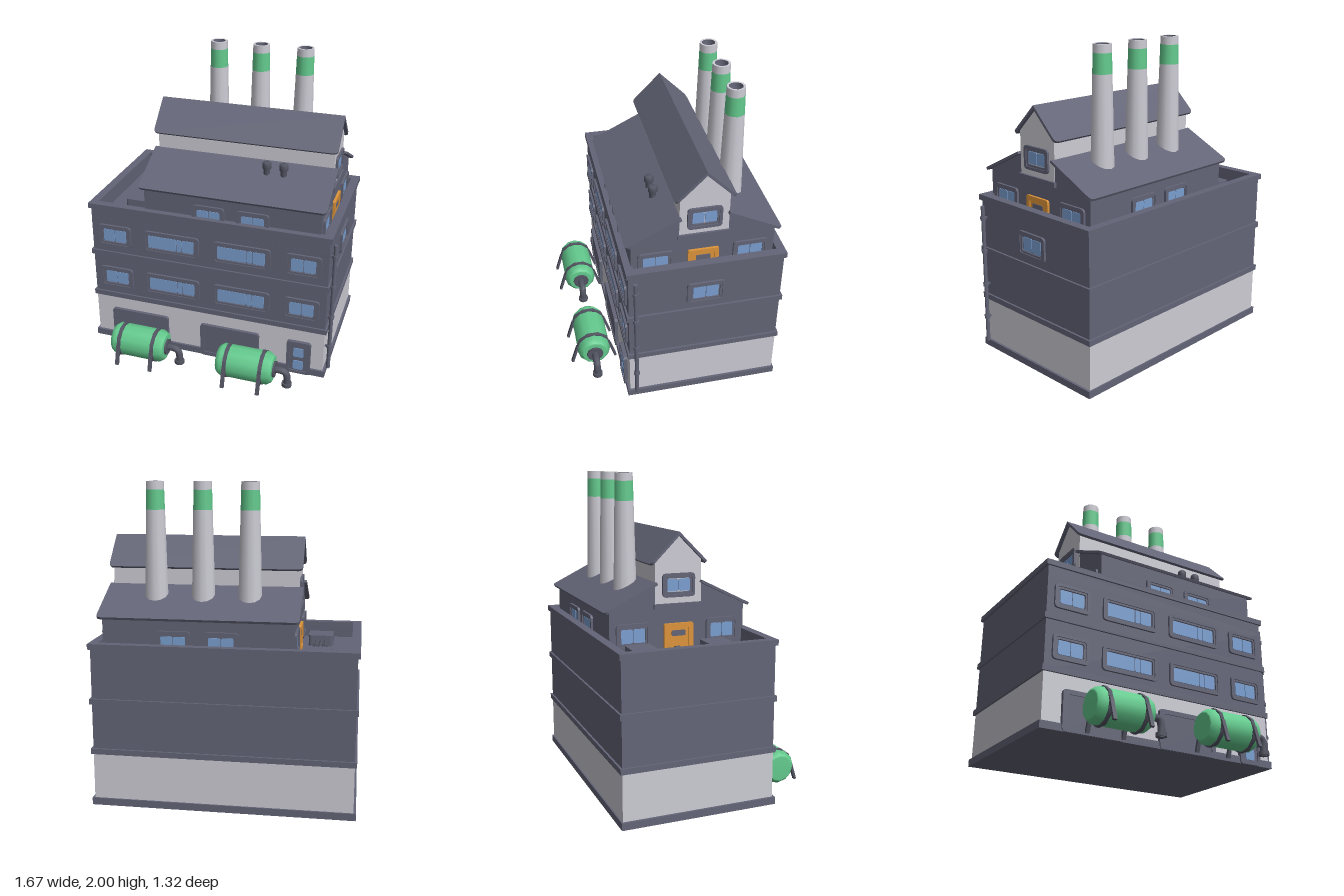
import * as THREE from 'three';

const mat = (name, color) => Object.assign(new THREE.MeshStandardMaterial({ color }), { name });

export function createModel() {
  const slate = mat('slate', 0x636577), pale = mat('pale wall', 0xcdccd5), green = mat('green', 0x64cb8e);
  const glass = mat('glass', 0x7a9fd0), orange = mat('orange', 0xdd943a), metal = mat('dark metal', 0x545664);
  const model = new THREE.Group();

  const add = (parent, name, geo, m, x = 0, y = 0, z = 0) => {
    const mesh = new THREE.Mesh(geo, m);
    mesh.name = name;
    mesh.position.set(x, y, z);
    parent.add(mesh);
    return mesh;
  };
  const group = (name, x = 0, y = 0, z = 0, parent = model) => {
    const g = new THREE.Group();
    g.name = name;
    g.position.set(x, y, z);
    parent.add(g);
    return g;
  };
  // box from its low and high corners
  const box = (parent, name, m, [x0, x1], [y0, y1], [z0, z1]) =>
    add(parent, name, new THREE.BoxGeometry(x1 - x0, y1 - y0, z1 - z0), m, (x0 + x1) / 2, (y0 + y1) / 2, (z0 + z1) / 2);
  const extrude = (shape, depth) => new THREE.ExtrudeGeometry(shape, { depth, bevelEnabled: false, curveSegments: 4 });
  // rectangle w by h about the origin; top and bottom corner radii
  const rounded = (w, h, rt, rb = rt, C = THREE.Shape) => {
    const s = new C(), a = w / 2, b = h / 2;
    s.moveTo(-a + rb, -b);
    s.lineTo(a - rb, -b);
    s.quadraticCurveTo(a, -b, a, -b + rb);
    s.lineTo(a, b - rt);
    s.quadraticCurveTo(a, b, a - rt, b);
    s.lineTo(-a + rt, b);
    s.quadraticCurveTo(-a, b, -a, b - rt);
    s.lineTo(-a, -b + rb);
    s.quadraticCurveTo(-a, -b, -a + rb, -b);
    return s;
  };
  const frame = (w, h, r, border, depth) => {
    const s = rounded(w, h, r);
    s.holes.push(rounded(w - 2 * border, h - 2 * border, r * 0.6, r * 0.6, THREE.Path));
    return extrude(s, depth);
  };
  // framed window facing local +z; panes are [centre, width] pairs
  const windowUnit = (parent, x, y, z, w, h, panes, turn = 0) => {
    const g = group('window', x, y, z, parent);
    g.rotation.y = turn;
    add(g, 'windowFrame', frame(w, h, 0.025, 0.018, 0.015), slate);
    add(g, 'windowInnerFrame', frame(w - 0.036, h - 0.036, 0.018, 0.013, 0.009), slate);
    for (const [c, pw] of panes) add(g, 'pane', extrude(rounded(pw, h - 0.07, 0.012), 0.005), glass, c);
  };
  const pair = [[-0.041, 0.078], [0.041, 0.078]];
  const triple = [[-0.066, 0.198], [0.054, 0.034], [0.115, 0.08]];

  // main block
  const block = group('mainBlock');
  box(block, 'groundFloor', pale, [-0.825, 0.785], [0.02, 0.34], [-0.645, 0.32]);
  box(block, 'upperFloors', slate, [-0.825, 0.785], [0.34, 0.93], [-0.645, 0.32]);
  box(block, 'baseTrim', slate, [-0.84, 0.8], [0, 0.045], [-0.655, 0.335]);
  for (const y of [0.335, 0.655]) box(block, 'floorTrim', slate, [-0.838, 0.798], [y, y + 0.035], [-0.658, 0.332]);
  const parapet = (w, d, y, h, name) => {
    const s = rounded(w, d, 0.001);
    s.holes.push(rounded(1.53, 0.885, 0.001, 0.001, THREE.Path));
    add(block, name, extrude(s, h).rotateX(-Math.PI / 2), slate, -0.02, y, -0.163);
  };
  parapet(1.61, 0.965, 0.93, 0.07, 'parapet');
  parapet(1.64, 0.99, 1.0, 0.035, 'parapetCap');
  for (const y of [0.493, 0.813]) {
    for (const x of [-0.662, 0.625]) windowUnit(block, x, y, 0.32, 0.235, 0.157, pair);
    for (const x of [-0.26, 0.22]) windowUnit(block, x, y, 0.32, 0.385, 0.157, triple);
  }
  windowUnit(block, 0.785, 0.813, -0.16, 0.238, 0.157, pair, Math.PI / 2);

  // ground floor gates and door
  for (const x of [-0.5, 0.145]) {
    const g = group('gate', x, 0.123, 0.32);
    add(g, 'gatePanel', extrude(rounded(0.36, 0.22, 0.02, 0.001), 0.016), slate);
    add(g, 'gateFrame', frame(0.41, 0.245, 0.022, 0.028, 0.022), slate);
  }
  const door = group('frontDoor', 0.623, 0.123, 0.32);
  add(door, 'doorPanel', extrude(rounded(0.12, 0.22, 0.01, 0.001), 0.016), slate);
  add(door, 'doorFrame', frame(0.16, 0.245, 0.02, 0.02, 0.024), slate);
  for (const y of [0.04, -0.058]) add(door, 'doorPane', extrude(rounded(0.068, 0.068, 0.01), 0.005), glass, 0, y, 0.016);

  // gabled house on the roof, centred on its own ridge
  const HX = 0.135, HZ = -0.15;
  const house = group('roofHouse', HX, 0, HZ);
  const gable = (name, m, len, points) => {
    const s = new THREE.Shape(points.map(([z, y]) => new THREE.Vector2(z, y)));
    add(house, name, extrude(s, len).rotateY(-Math.PI / 2), m, len / 2);
  };
  gable('lowerHouse', slate, 1.17, [[-0.44, 0.9], [0.44, 0.9], [0.44, 1.197], [0.14, 1.343], [-0.14, 1.343], [-0.44, 1.197]]);
  gable('upperHouse', pale, 1.176, [[-0.15, 1.21], [0.15, 1.21], [0.15, 1.488], [0, 1.638], [-0.15, 1.488]]);
  const roofSide = (parent, name, w, z0, y0, z1, y1, lap) => {
    const t = 0.016, dz = z1 - z0, dy = y1 - y0, len = Math.hypot(dz, dy) + lap;
    const geo = extrude(rounded(w, len, 0.001, 0.03), t).translate(0, lap - len / 2, 0);
    add(parent, name, geo, slate, 0, y0, z0).rotation.x = Math.atan2(-dz, -dy);
  };
  for (const turn of [0, Math.PI]) {
    const half = group('roofHalf', 0, 0, 0, house);
    half.rotation.y = turn;
    roofSide(half, 'lowerRoof', 1.23, 0.14, 1.345, 0.47, 1.182, 0);
    roofSide(half, 'upperRoof', 1.222, 0, 1.634, 0.175, 1.459, 0.016);
    for (const x of [-0.147, 0.147]) windowUnit(half, x, 1.04, 0.44, 0.215, 0.155, pair);

    // gable end fittings
    const end = group('gableEnd', 0, 0, 0, house);
    end.rotation.y = turn + Math.PI / 2;
    box(end, 'gableBand', slate, [-0.16, 0.16], [1.195, 1.225], [0.58, 0.602]);
    windowUnit(end, 0, 1.335, 0.588, 0.21, 0.145, pair);
    for (const x of [-0.292, 0.292]) windowUnit(end, x, 1.04, 0.585, 0.215, 0.155, pair);
    add(end, 'houseDoor', extrude(rounded(0.15, 0.15, 0.01, 0.001), 0.008), orange, 0, 1.0, 0.585);
    add(end, 'houseDoorFrame', frame(0.19, 0.18, 0.012, 0.028, 0.016), orange, 0, 1.012, 0.585);
    add(end, 'houseDoorPane', extrude(rounded(0.09, 0.035, 0.008), 0.004), slate, 0, 1.04, 0.593);
  }

  // three banded chimneys
  const radius = y => 0.074 - (y - 1.25) * 0.024;
  const stack = (points, m, name, parent) =>
    add(parent, name, new THREE.LatheGeometry(points.map(p => new THREE.Vector2(...p)), 12), m);
  for (const x of [-0.16, 0.13, 0.425]) {
    const c = group('chimney', x, 0, -0.39);
    const section = (y0, y1, m, name) => stack([[radius(y0), y0], [radius(y1), y1]], m, name, c);
    section(1.15, 1.83, pale, 'chimneyShaft');
    section(1.83, 1.95, green, 'chimneyBand');
    section(1.95, 2, pale, 'chimneyTop');
    stack([[radius(2), 2], [0.042, 2]], pale, 'chimneyRim', c);
    stack([[0.042, 2], [0.04, 1.9], [0, 1.9]], slate, 'chimneyFlue', c);
  }

  // small roof vents
  for (const x of [0.313, 0.423]) {
    const v = group('roofVent', x, 0, 0.093);
    stack([[0.021, 1.26], [0.021, 1.335], [0.029, 1.345], [0.029, 1.375], [0.022, 1.385], [0, 1.385]], metal, 'vent', v);
  }

  // pipe between two points
  const pipe = (parent, name, a, b, r, m = metal) => {
    const A = new THREE.Vector3(...a), B = new THREE.Vector3(...b), d = B.clone().sub(A);
    const p = add(parent, name, new THREE.CylinderGeometry(r, r, d.length(), 10), m);
    p.position.copy(A).add(B).multiplyScalar(0.5);
    p.quaternion.setFromUnitVectors(new THREE.Vector3(0, 1, 0), d.normalize());
  };

  // rooftop machinery on the deck
  const deck = group('rooftopUnits');
  for (const z of [-0.435, 0.048]) {
    const geo = extrude(rounded(0.16, 0.157, 0.02), 0.07).rotateX(-Math.PI / 2);
    add(deck, 'rooftopUnit', geo, slate, -0.58, 0.93, z);
  }
  for (const x of [-0.612, -0.583, -0.554]) pipe(deck, 'deckPipe', [x, 0.965, -0.37], [x, 0.965, -0.02], 0.009);
  for (const x of [-0.612, -0.554]) pipe(deck, 'pipeJoint', [x, 0.965, -0.21], [x, 0.965, -0.18], 0.018);
  for (const z of [-0.47, -0.445, -0.42]) pipe(deck, 'wallPipe', [-0.51, 0.965, z], [-0.44, 0.965, z], 0.009);

  // drainpipe
  const drain = group('drainpipe', 0.814, 0, 0.28);
  pipe(drain, 'drain', [0, 0.05, 0], [0, 0.97, 0], 0.013, slate);
  for (const y of [0.22, 0.445, 0.67, 0.89]) {
    pipe(drain, 'drainCollar', [0, y - 0.011, 0], [0, y + 0.011, 0], 0.019, slate);
    box(drain, 'drainBracket', slate, [-0.035, 0], [y - 0.006, y + 0.006], [-0.006, 0.006]);
  }

  // storage tanks
  for (const [x, z] of [[-0.433, 0.493], [0.313, 0.505]]) {
    const t = group('storageTank', x, 0.125, z);
    const profile = [[0, -0.188], [0.078, -0.188], [0.088, -0.184], [0.108, -0.155], [0.108, 0.155], [0.088, 0.184], [0.078, 0.188], [0, 0.188]];
    const body = stack(profile, green, 'tankBody', t);
    body.rotation.z = -Math.PI / 2;
    for (const sx of [-0.118, 0.118]) {
      pipe(t, 'tankStrap', [sx - 0.012, 0, 0], [sx + 0.012, 0, 0], 0.116);
      for (const s of [-1, 1]) {
        const leg = add(t, 'tankLeg', new THREE.BoxGeometry(0.024, 0.14, 0.016), metal, sx, -0.047, s * 0.127);
        leg.rotation.x = -s * 0.3;
      }
    }
    pipe(t, 'endFlange', [0.18, 0, 0], [0.2, 0, 0], 0.055);
    const bend = new THREE.CatmullRomCurve3([[0.19, 0], [0.24, 0], [0.266, -0.01], [0.277, -0.04], [0.277, -0.115]]
      .map(([px, py]) => new THREE.Vector3(px, py, 0)));
    add(t, 'outletPipe', new THREE.TubeGeometry(bend, 14, 0.023, 10), metal);
    pipe(t, 'outletFlange', [0.277, -0.11, 0], [0.277, -0.085, 0], 0.033);
  }

  return model;
}
